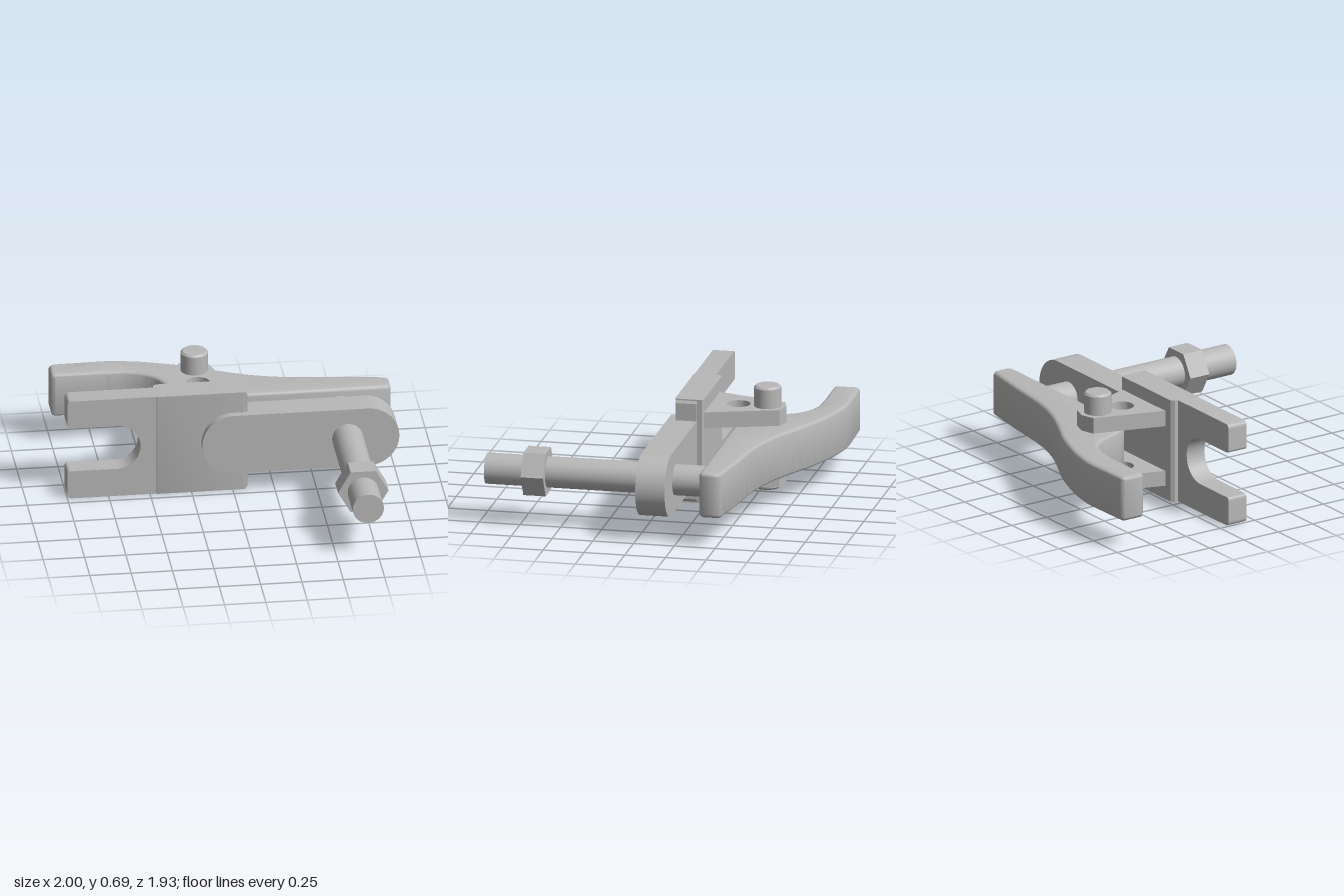
import * as THREE from 'three';
import { toCreasedNormals } from 'three/addons/utils/BufferGeometryUtils.js';

const MID = 0.3225; // height of the symmetry plane
const steel = new THREE.MeshStandardMaterial({ color: 0xb8b8b8 });
steel.name = 'steel grey';

const v2 = (pts) => pts.map(([x, y]) => new THREE.Vector2(x, y));

// Extrusion of an x-y shape from z0 to z1
function frontPlate(shape, z0, z1) {
  const geo = new THREE.ExtrudeGeometry(shape, { depth: z1 - z0, bevelEnabled: false, curveSegments: 32 });
  geo.translate(0, 0, z0);
  return toCreasedNormals(geo, 0.5);
}

// Extrusion of an x-z shape from y0 to y1, optionally with rounded rims
function flatPlate(shape, y0, y1, round = 0, crease = 0.5) {
  const geo = new THREE.ExtrudeGeometry(shape, {
    depth: y1 - y0 - 2 * round, curveSegments: 24, bevelEnabled: round > 0,
    bevelSize: round, bevelThickness: round, bevelOffset: -round, bevelSegments: 5,
  });
  geo.rotateX(Math.PI / 2);
  geo.translate(0, y1 - round, 0);
  return toCreasedNormals(geo, crease);
}

export function createModel() {
  const model = new THREE.Group();
  model.name = 'ballJointSeparator';
  const add = (name, geo) => {
    const mesh = new THREE.Mesh(geo, steel);
    mesh.name = name;
    model.add(mesh);
    return mesh;
  };

  // Forked plate with a round-ended slot
  const fork = new THREE.Shape();
  fork.moveTo(-0.97, 0);
  fork.lineTo(0.075, 0);
  fork.lineTo(0.09, 0.025);
  fork.lineTo(0.09, 0.62);
  fork.lineTo(0.075, 0.645);
  fork.lineTo(-0.97, 0.645);
  fork.quadraticCurveTo(-1, 0.645, -1, 0.615);
  fork.lineTo(-1, 0.485);
  fork.quadraticCurveTo(-1, 0.465, -0.98, 0.465);
  fork.lineTo(-0.7, 0.465);
  fork.absarc(-0.7, MID, 0.1425, Math.PI / 2, -Math.PI / 2, true);
  fork.lineTo(-0.98, 0.18);
  fork.quadraticCurveTo(-1, 0.18, -1, 0.16);
  fork.lineTo(-1, 0.03);
  fork.quadraticCurveTo(-1, 0, -0.97, 0);
  add('forkPlate', frontPlate(fork, -0.19, -0.06));

  // Thicker base behind the brackets
  const base = new THREE.Shape(v2([
    [-0.465, -0.06], [-0.455, -0.055], [0.07, -0.055], [0.08, -0.065],
    [0.08, -0.22], [0.07, -0.23], [-0.445, -0.23], [-0.465, -0.21],
  ]));
  add('bracketBase', flatPlate(base, 0, 0.645));

  // Pair of bracket ears with a spare pin hole
  const ear = new THREE.Shape(v2([
    [-0.393, -0.22], [-0.254, -0.66], [-0.168, -0.687], [-0.083, -0.66], [0.062, -0.22],
  ]));
  const hole = new THREE.Path();
  hole.absarc(-0.168, -0.393, 0.072, 0, Math.PI * 2, true);
  ear.holes.push(hole);
  add('upperBracket', flatPlate(ear, 0.465, 0.563));
  add('lowerBracket', flatPlate(ear, 0.085, 0.18));

  // Pivot pin with chamfered ends
  const pin = new THREE.LatheGeometry(v2([
    [0, 0.055], [0.07, 0.055], [0.082, 0.067], [0.082, 0.68], [0.07, 0.692], [0, 0.692],
  ]), 40);
  pin.translate(-0.168, 0, -0.57);
  add('pivotPin', toCreasedNormals(pin, 0.5));

  // Curved lever
  const lever = new THREE.Shape();
  lever.moveTo(-0.98, -0.962);
  lever.splineThru(v2([
    [-0.8, -0.966], [-0.64, -0.968], [-0.52, -0.95], [-0.4, -0.92], [-0.19, -0.845], [0, -0.752],
    [0.19, -0.67], [0.4, -0.615], [0.7, -0.577], [0.98, -0.537],
  ]));
  lever.lineTo(1, -0.517);
  lever.lineTo(1, -0.42);
  lever.lineTo(0.98, -0.4);
  lever.lineTo(0.1, -0.395);
  lever.splineThru(v2([
    [-0.03, -0.39], [-0.13, -0.39], [-0.22, -0.415], [-0.3, -0.495], [-0.34, -0.59],
    [-0.38, -0.685], [-0.45, -0.75], [-0.55, -0.788], [-0.67, -0.8], [-0.8, -0.8], [-0.98, -0.8],
  ]));
  lever.lineTo(-1, -0.815);
  lever.lineTo(-1, -0.942);
  add('lever', flatPlate(lever, 0.185, 0.465, 0.024, 0.85));

  // Round-ended arm
  const arm = new THREE.Shape();
  arm.absarc(0, MID, 0.19, Math.PI / 2, Math.PI * 1.5, false);
  arm.absarc(0.81, MID, 0.19, -Math.PI / 2, Math.PI / 2, false);
  add('arm', frontPlate(arm, -0.19, -0.01));

  // Pressure bolt and hexagonal nut
  const bolt = new THREE.CylinderGeometry(0.094, 0.094, 1.385, 40);
  bolt.rotateX(Math.PI / 2);
  bolt.translate(0.688, MID, 0.2725);
  add('bolt', bolt);

  const hex = new THREE.Shape(v2(Array.from({ length: 6 }, (_, i) => [
    0.688 + 0.153 * Math.cos(i * Math.PI / 3), MID + 0.153 * Math.sin(i * Math.PI / 3),
  ])));
  add('nut', frontPlate(hex, 0.59, 0.727));

  return model;
}
